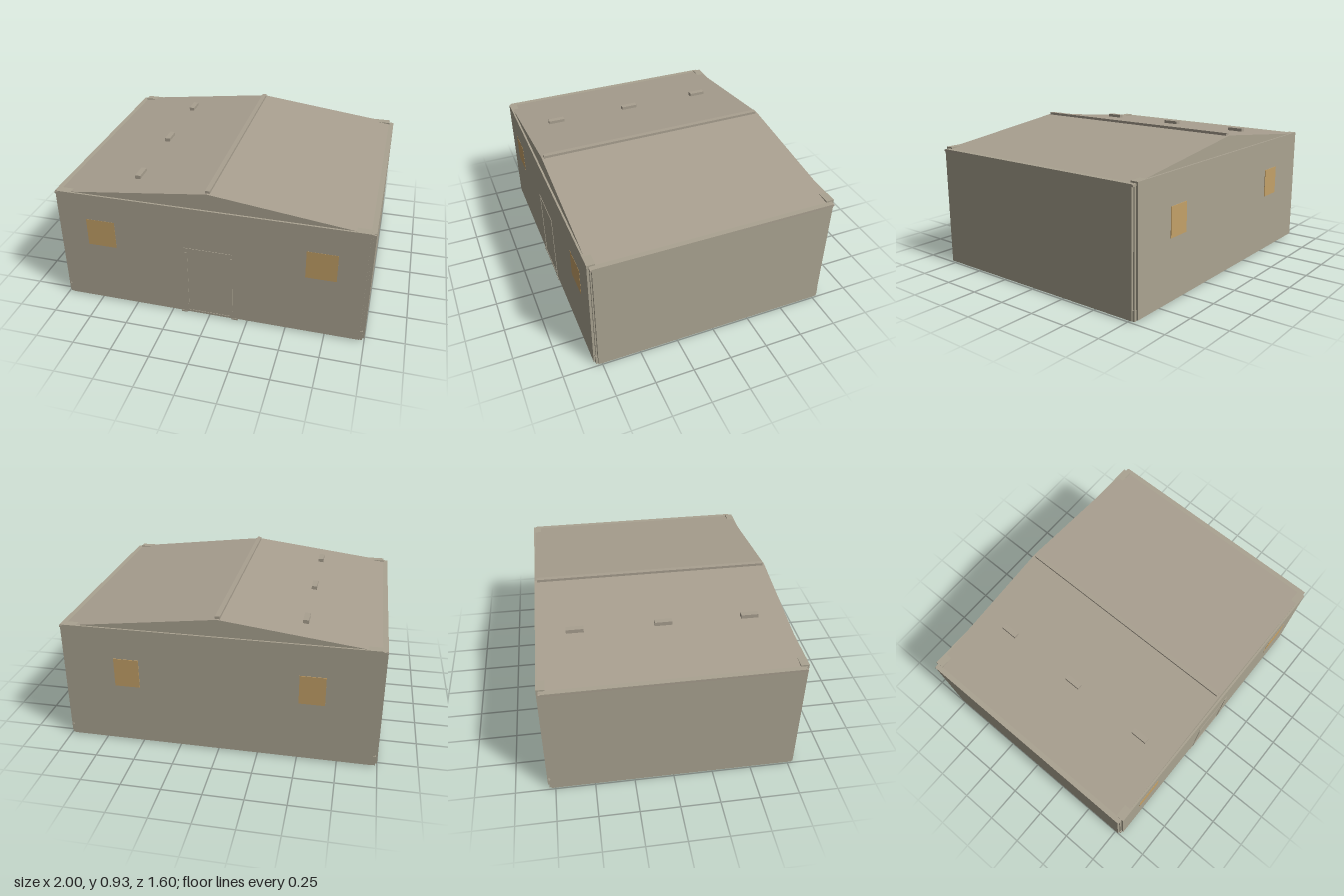
import * as THREE from 'three';

export function createModel() {
  const model = new THREE.Group();
  const mat = (name, color) => new THREE.MeshStandardMaterial({ name, color });
  const wall = mat('wall plaster', 0xaaa391);
  const roofing = mat('roof sheet', 0xa9a090);
  const glass = mat('warm window', 0xc4a168);

  // Box given by its lower and upper limits on each axis
  function box(name, x0, x1, y0, y1, z0, z1, material = wall) {
    const mesh = new THREE.Mesh(new THREE.BoxGeometry(x1 - x0, y1 - y0, z1 - z0), material);
    mesh.position.set((x0 + x1) / 2, (y0 + y1) / 2, (z0 + z1) / 2);
    mesh.name = name;
    model.add(mesh);
    return mesh;
  }

  // Floor and walls
  box('floorSlab', -0.985, 0.985, 0.005, 0.03, -0.785, 0.785);
  box('frontWall', -0.97, 0.97, 0.01, 0.8, 0.745, 0.797);
  box('backWall', -0.97, 0.97, 0.01, 0.8, -0.797, -0.745);
  box('leftWall', 0.945, 1, 0.01, 0.79, -0.775, 0.775);
  box('rightWall', -1, -0.945, 0.01, 0.79, -0.775, 0.775);

  // Recessed corner posts with base blocks
  for (const sx of [-1, 1]) {
    for (const sz of [-1, 1]) {
      const post = box('cornerPost', -0.02, 0.02, 0.01, 0.79, -0.02, 0.02);
      post.position.x = sx * 0.963;
      post.position.z = sz * 0.763;
      const base = box('cornerBase', -0.022, 0.022, 0.005, 0.07, -0.022, 0.022);
      base.position.x = sx * 0.966;
      base.position.z = sz * 0.766;
    }
  }

  // Low gable roof
  const gable = new THREE.Shape([
    new THREE.Vector2(-1, 0.775), new THREE.Vector2(1, 0.775), new THREE.Vector2(1, 0.786),
    new THREE.Vector2(0, 0.91), new THREE.Vector2(-1, 0.786),
  ]);
  const roof = new THREE.Mesh(
    new THREE.ExtrudeGeometry(gable, { depth: 1.57, bevelEnabled: false }), [wall, roofing]);
  roof.position.z = -0.785;
  roof.name = 'gableRoof';
  model.add(roof);
  box('ridgeCap', -0.015, 0.015, 0.9, 0.925, -0.77, 0.77, roofing);
  for (const z of [-0.55, 0, 0.55]) {
    box('roofVent', -0.525, -0.49, 0.84, 0.87, z - 0.055, z + 0.055, roofing);
  }

  // Door frame
  for (const s of [-1, 1]) {
    const jamb = box('doorJamb', -0.01, 0.01, 0.01, 0.48, 0.79, 0.8);
    jamb.position.x = s * 0.145;
    const foot = box('doorJambBase', -0.01, 0.01, 0.01, 0.07, 0.79, 0.801);
    foot.position.x = s * 0.145;
    const block = box('stepBlock', -0.02, 0.02, 0, 0.01, 0.76, 0.8);
    block.position.x = s * 0.17;
  }
  box('doorLintel', -0.155, 0.155, 0.502, 0.512, 0.79, 0.8);
  box('doorThreshold', -0.135, 0.135, 0.01, 0.025, 0.79, 0.8);

  // Windows
  for (const s of [-1, 1]) {
    const front = box('frontWindow', -0.095, 0.095, 0.43, 0.62, 0.793, 0.798, glass);
    front.position.x = s * 0.705;
    const back = box('backWindow', -0.08, 0.08, 0.405, 0.595, -0.801, -0.795, glass);
    back.position.x = s * 0.58;
  }
  return model;
}
